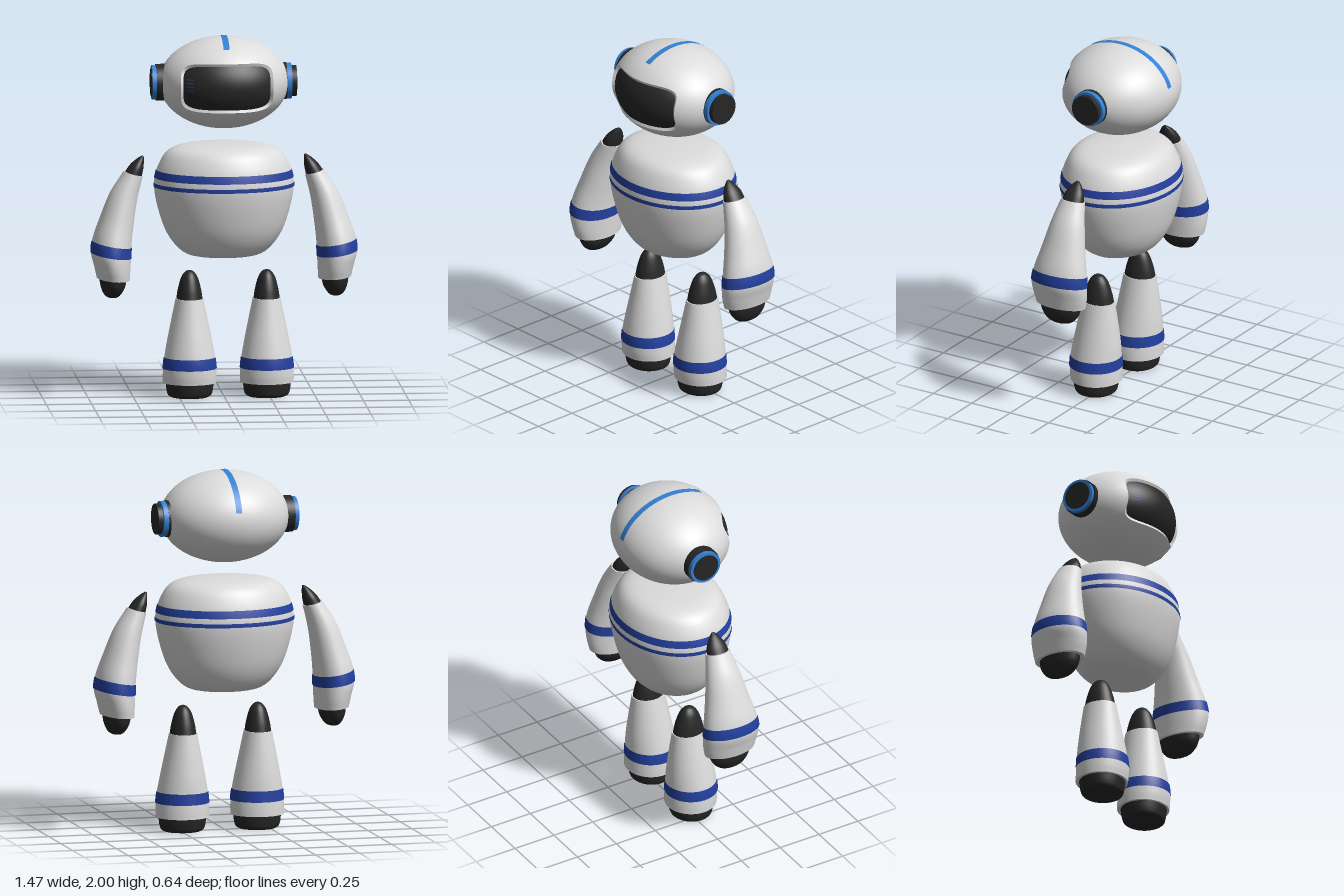
import * as THREE from 'three';

const mat = (name, color, extra = {}) => {
  const m = new THREE.MeshStandardMaterial({ color, ...extra });
  m.name = name;
  return m;
};

// Smooth grid surface from a point rule; wrap joins the two u edges
function surface(fn, nu, nv, wrap = true) {
  const pos = [], idx = [], cols = wrap ? nu : nu + 1;
  for (let j = 0; j <= nv; j++)
    for (let i = 0; i < cols; i++) pos.push(...fn(i / nu, j / nv));
  for (let j = 0; j < nv; j++)
    for (let i = 0; i < nu; i++) {
      const a = j * cols + i, b = j * cols + (i + 1) % cols;
      idx.push(a, b, a + cols, b, b + cols, a + cols);
    }
  const g = new THREE.BufferGeometry();
  g.setAttribute('position', new THREE.Float32BufferAttribute(pos, 3));
  g.setIndex(idx);
  g.computeVertexNormals();
  return g;
}

export function createModel() {
  const white = mat('shell white', 0xdcdcdc);
  const black = mat('joint black', 0x262626);
  const navy = mat('band navy', 0x2340a0);
  const blue = mat('accent blue', 0x3380d4);

  const model = new THREE.Group();
  model.name = 'robot';
  const group = (name) => {
    const g = new THREE.Group();
    g.name = name;
    model.add(g);
    return g;
  };
  const add = (parent, name, geo, material) => {
    const m = new THREE.Mesh(geo, material);
    m.name = name;
    parent.add(m);
    return m;
  };

  // Loft through elliptical sections [x, y, z, rx, rz, tilt], listed top to bottom.
  // A y range and growth turn the same loft into a thin painted band.
  function loft(parent, name, sections, material, range = null, grow = 0) {
    const curve = (k) => new THREE.CatmullRomCurve3(
      sections.map((s) => new THREE.Vector3(s[k], s[k + 1], s[k + 2])), false, 'catmullrom', 0.5);
    const centre = curve(0), size = curve(3);
    const tAt = (y) => {
      let lo = 0, hi = 1;
      for (let i = 0; i < 30; i++) {
        const mid = (lo + hi) / 2;
        if (centre.getPoint(mid).y > y) lo = mid; else hi = mid;
      }
      return lo;
    };
    const t0 = range ? tAt(range[0]) : 0, t1 = range ? tAt(range[1]) : 1;
    const point = (u, v, f = 1) => {
      const t = t0 + (t1 - t0) * v, c = centre.getPoint(t), s = size.getPoint(t), a = u * Math.PI * 2;
      const dx = Math.cos(a) * (s.x + grow) * f, dz = Math.sin(a) * (s.y + grow) * f;
      return [c.x + dx * Math.cos(s.z), c.y + dx * Math.sin(s.z), c.z + dz];
    };
    add(parent, name, surface((u, v) => point(u, v), 48, range ? 6 : 40), material);
    if (range) return;
    add(parent, name + 'TopCap', surface((u, v) => point(u, 0, v), 48, 1), material);
    add(parent, name + 'BottomCap', surface((u, v) => point(u, 1, 1 - v), 48, 1), material);
  }

  // Head: ellipsoid with a rounded opening at the front
  const head = group('head');
  head.position.y = 1.746;
  const A = 0.357, B = 0.254, C = 0.32;
  // f runs 0..1 from front pole to the opening edge, then 1..2 to the back pole
  const onHead = (u, f, k, hx, hy) => {
    const p = -u * Math.PI * 2, c = Math.cos(p), s = Math.sin(p), n = 5;
    const r = (Math.abs(c / hx) ** n + Math.abs(s / hy) ** n) ** (-1 / n);
    const ex = r * c / (A * k), ey = r * s / (B * k);
    const edge = Math.asin(Math.hypot(ex, ey)), phi = Math.atan2(ey, ex);
    const th = f <= 1 ? f * edge : edge + (f - 1) * (Math.PI - edge);
    return [A * k * Math.sin(th) * Math.cos(phi), B * k * Math.sin(th) * Math.sin(phi), C * k * Math.cos(th)];
  };
  const outer = [0.255, 0.136], inner = [0.24, 0.121], deep = 0.955;
  add(head, 'headShell', surface((u, v) => onHead(u, 1 + v, 1, ...outer), 120, 40), white);
  add(head, 'visor', surface((u, v) => onHead(u, v, deep, ...inner), 120, 24), black);
  add(head, 'visorRim', surface((u, v) => {
    const a = onHead(u, 1, deep, ...inner), b = onHead(u, 1, 1, ...outer);
    return a.map((x, i) => x + (b[i] - x) * v);
  }, 120, 2), white);

  // Small scan marks on the visor
  for (let i = 0; i < 4; i++)
    add(head, 'visorMark', surface((u, v) => {
      const k = deep + 0.008, x = -0.225 + 0.04 * u, y = -0.015 + i * 0.02 + 0.006 * v;
      return [x, y, C * k * Math.sqrt(1 - (x / A / k) ** 2 - (y / B / k) ** 2)];
    }, 4, 1, false), navy);

  // Crown stripe from above the visor to the back
  add(head, 'crownStripe', surface((u, v) => {
    const a = 0.635 - 1.97 * v, k = 1.008;
    return [(u - 0.5) * 0.034, B * k * Math.cos(a), C * k * Math.sin(a)];
  }, 2, 40, false), blue);

  // Ear discs
  const disc = (name, s, r, x0, x1, material) => {
    const m = add(head, name, new THREE.CylinderGeometry(r, r, x1 - x0, 48), material);
    m.rotation.z = Math.PI / 2;
    m.position.set(s * (x0 + x1) / 2, 0, -0.015);
  };
  disc('earBase', 1, 0.101, 0.31, 0.345, black);
  disc('earRing', 1, 0.099, 0.345, 0.372, blue);
  disc('earCap', 1, 0.085, 0.372, 0.4, black);
  disc('earBase', -1, 0.101, 0.31, 0.375, black);
  disc('earRing', -1, 0.094, 0.375, 0.398, blue);
  disc('earCap', -1, 0.078, 0.398, 0.402, black);

  // Torso
  const torso = group('torso');
  const body = [[1.41, 0.01], [1.405, 0.14], [1.392, 0.25], [1.36, 0.315], [1.3, 0.355], [1.24, 0.377], [1.18, 0.386],
    [1.1, 0.376], [1.0, 0.35], [0.92, 0.319], [0.85, 0.273], [0.8, 0.215], [0.782, 0.14], [0.775, 0.01]]
    .map(([y, r]) => [0, y, 0, r, r * 0.82, 0]);
  loft(torso, 'torsoShell', body, white);
  loft(torso, 'wideChestBand', body, navy, [1.262, 1.22], 0.003);
  loft(torso, 'narrowChestBand', body, navy, [1.192, 1.17], 0.003);

  // Arms, mirrored
  for (const s of [1, -1]) {
    const arm = group(s > 0 ? 'leftArm' : 'rightArm');
    const side = (list) => list.map(([x, y, z, rx, rz, t]) => [s * x, y, z, rx, rz, s * t]);
    const sleeve = side([[0.5, 1.243, 0, 0.054, 0.07, 0.25], [0.553, 1.12, 0, 0.077, 0.1, 0.24],
      [0.592, 0.98, 0.003, 0.095, 0.13, 0.2], [0.617, 0.87, 0.007, 0.108, 0.156, 0.18],
      [0.624, 0.79, 0.01, 0.111, 0.167, 0.15], [0.617, 0.72, 0.009, 0.1, 0.163, 0.12], [0.611, 0.66, 0.007, 0.091, 0.15, 0.08]]);
    loft(arm, 'sleeve', sleeve, white);
    loft(arm, 'wristBand', sleeve, navy, [0.855, 0.793], 0.003);
    loft(arm, 'shoulderJoint', side([[0.447, 1.34, 0, 0.005, 0.008, 0.4], [0.46, 1.318, 0, 0.02, 0.03, 0.4],
      [0.481, 1.28, 0, 0.038, 0.054, 0.3], [0.502, 1.235, 0, 0.049, 0.065, 0.25]]), black);
    loft(arm, 'hand', side([[0.612, 0.675, 0.007, 0.076, 0.126, 0.08], [0.614, 0.62, 0.007, 0.068, 0.115, 0.06],
      [0.615, 0.58, 0.007, 0.05, 0.088, 0], [0.615, 0.56, 0.007, 0.03, 0.055, 0], [0.615, 0.555, 0.007, 0.004, 0.008, 0]]), black);
  }

  // Legs
  for (const [name, x] of [['leftLeg', 0.236], ['rightLeg', -0.19]]) {
    const leg = group(name);
    leg.position.x = x;
    const shin = [[0, 0.545, 0, 0.076, 0.095, 0], [0, 0.42, 0.004, 0.102, 0.115, 0], [0, 0.3, 0.01, 0.126, 0.133, 0],
      [0, 0.2, 0.016, 0.143, 0.143, 0], [0, 0.13, 0.015, 0.148, 0.145, 0], [0, 0.08, 0.012, 0.148, 0.142, 0]];
    loft(leg, 'shinShell', shin, white);
    loft(leg, 'ankleBand', shin, navy, [0.222, 0.16], 0.003);
    loft(leg, 'hipJoint', [[0, 0.702, 0, 0.005, 0.006, 0], [0, 0.692, 0, 0.025, 0.03, 0], [0, 0.66, 0, 0.046, 0.055, 0],
      [0, 0.6, 0, 0.063, 0.077, 0], [0, 0.54, 0, 0.073, 0.09, 0]], black);
    loft(leg, 'foot', [[0, 0.085, 0.015, 0.132, 0.127, 0], [0, 0.04, 0.015, 0.128, 0.12, 0],
      [0, 0.012, 0.015, 0.119, 0.112, 0], [0, 0, 0.015, 0.1, 0.095, 0]], black);
  }
  return model;
}
